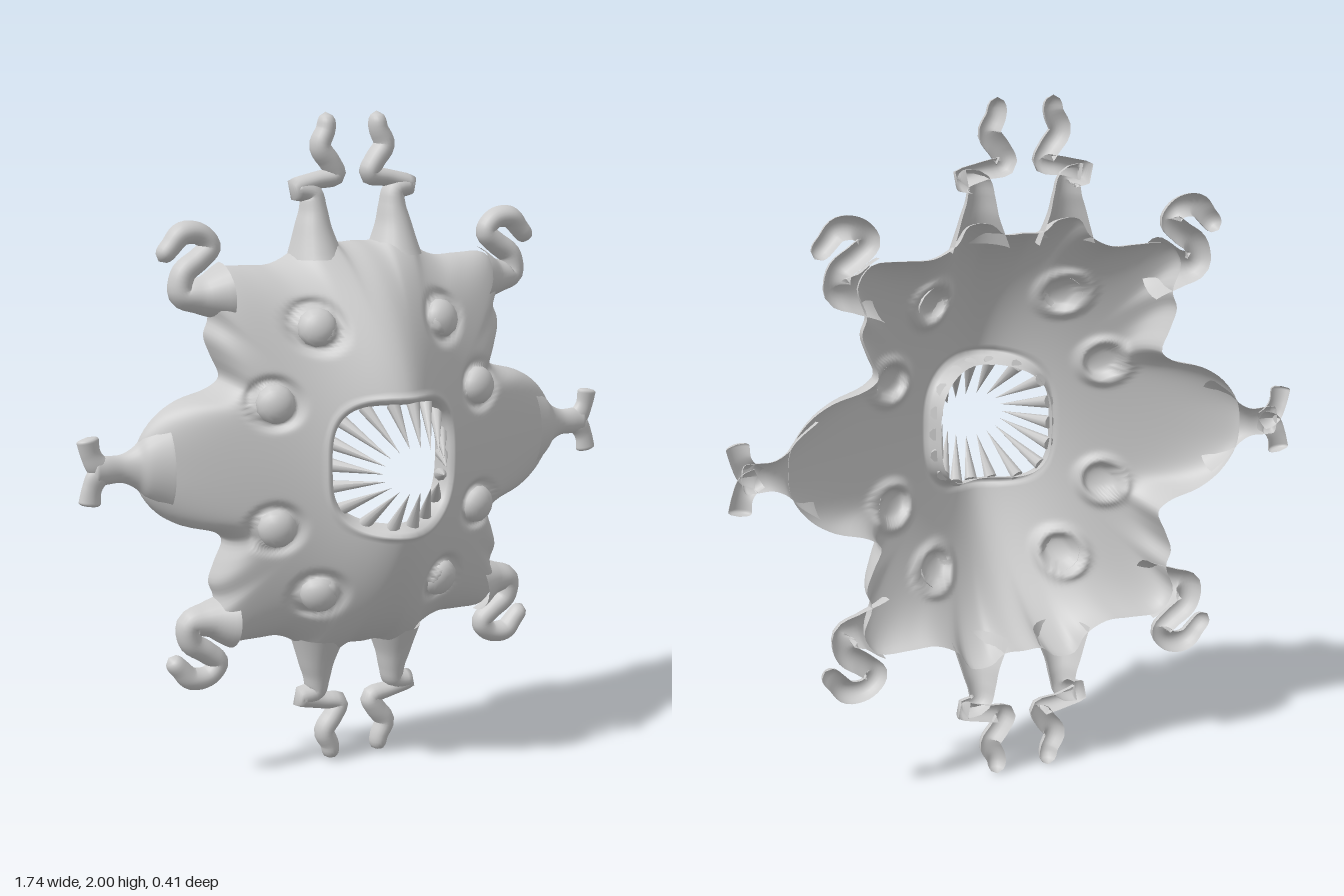
import * as THREE from 'three';
import { mergeVertices } from 'three/addons/utils/BufferGeometryUtils.js';

const BACK = -0.21; // flat open back plane
const material = new THREE.MeshStandardMaterial({ color: 0xcccccc, side: THREE.DoubleSide });
const EYES = [[0.205, 0.4], [0.335, 0.185]];
const SIGNS = [[1, 1], [-1, 1], [-1, -1], [1, -1]];

// Smooth grid surface from fn(row, column) -> [x, y, z]
function gridSurface(rows, cols, fn) {
  const pos = [], index = [];
  for (let i = 0; i <= rows; i++) {
    for (let j = 0; j <= cols; j++) {
      pos.push(...fn(i, j));
      if (i < rows && j < cols) {
        const a = i * (cols + 1) + j, b = a + cols + 1;
        index.push(a, b, b + 1, a, b + 1, a + 1);
      }
    }
  }
  let geo = new THREE.BufferGeometry();
  geo.setAttribute('position', new THREE.Float32BufferAttribute(pos, 3));
  geo.setIndex(index);
  geo = mergeVertices(geo, 1e-5);
  geo.computeVertexNormals();
  return geo;
}

function add(parent, name, geometry) {
  const mesh = new THREE.Mesh(geometry, material);
  mesh.name = name;
  parent.add(mesh);
  return mesh;
}

// Height of the domed shell: a vertical ridge falling away to the sides
function domeZ(x, y) {
  const ax = Math.sqrt(x * x + 0.0009) - 0.02;
  const across = 0.8 * (1 - ax / 0.8) + 0.2 * Math.exp(-((ax / 0.15) ** 2));
  return BACK + 0.41 * across * (1 - (y / 0.75) ** 2);
}

// Raised ring, moat and hollow mound that seat each eye
function socketZ(x, y) {
  let dz = 0;
  for (const [ex, ey] of EYES) {
    const d = Math.hypot(Math.abs(x) - ex, Math.abs(y) - ey);
    dz -= 0.018 * Math.exp(-(((d - 0.064) / 0.014) ** 2));
    if (d < 0.05) dz += 0.026 * Math.sqrt(1 - (d / 0.05) ** 2);
  }
  return dz;
}

// Rounded-square mouth edge at a given angle
function mouthRim(angle, size = 0.215) {
  const c = Math.cos(angle), s = Math.sin(angle), n = 3;
  const r = size / (Math.abs(c) ** n + Math.abs(s) ** n) ** (1 / n);
  return [r * c, r * s];
}

function shellGeometry() {
  // One quarter of the scalloped outline, mirrored into a closed loop
  const quarter = [
    [0.7, 0], [0.69, 0.07], [0.64, 0.14], [0.57, 0.185], [0.47, 0.215], [0.435, 0.245],
    [0.46, 0.31], [0.48, 0.37], [0.465, 0.42], [0.49, 0.5], [0.45, 0.56], [0.35, 0.565],
    [0.27, 0.565], [0.2, 0.6], [0.165, 0.65], [0.1, 0.65], [0.06, 0.62], [0, 0.62],
  ];
  const top = [...quarter, ...quarter.slice(0, -1).reverse().map(([x, y]) => [-x, y])];
  const loop = [...top, ...top.slice(1, -1).reverse().map(([x, y]) => [x, -y])];
  const outline = new THREE.CatmullRomCurve3(loop.map(([x, y]) => new THREE.Vector3(x, y, 0)), true);
  const cols = 272, rows = 56;
  const edge = Array.from({ length: cols }, (_, j) => outline.getPoint(j / cols));
  const lip = [[0.82, -0.06], [0.85, -0.025], [0.89, 0], [0.94, 0.012], [0.98, 0.008]];

  return gridSurface(rows + lip.length, cols, (i, j) => {
    const e = edge[j % cols];
    const [rx, ry] = mouthRim(Math.atan2(e.y, e.x));
    if (i < lip.length) { // lip rolling into the mouth
      const [k, dz] = lip[i];
      return [rx * k, ry * k, domeZ(rx, ry) + dz];
    }
    const s = 1 - (1 - (i - lip.length) / rows) ** 1.5;
    const x = rx + (e.x - rx) * s, y = ry + (e.y - ry) * s;
    const wall = Math.sqrt(Math.max(0, 1 - s ** 8));
    return [x, y, BACK + (domeZ(x, y) - BACK) * wall + socketZ(x, y) * wall];
  });
}

// Half-round limb lying on the back plane; points are [x, y, radius]
function limbGeometry(points, sx, sy, depth) {
  const curve = new THREE.CatmullRomCurve3(
    points.map(([x, y, r]) => new THREE.Vector3(x * sx, y * sy, r)), false, 'centripetal');
  const rows = 44, cols = 12;
  return gridSurface(rows, cols, (i, j) => {
    const t = i / rows, p = curve.getPoint(t), d = curve.getTangent(t);
    const len = Math.hypot(d.x, d.y);
    const tip = t > 0.93 ? Math.sqrt(Math.max(0, 1 - ((t - 0.93) / 0.07) ** 2)) : 1;
    const r = p.z * tip, a = Math.PI * (1 - j / cols), w = r * Math.cos(a);
    return [p.x - d.y / len * w, p.y + d.x / len * w, BACK + depth * r * Math.sin(a)];
  });
}

const LIMBS = {
  verticalTentacle: { depth: 1.4, points: [
    [0.13, 0.58, 0.085], [0.132, 0.66, 0.058], [0.13, 0.72, 0.042], [0.137, 0.765, 0.034],
    [0.188, 0.778, 0.03], [0.12, 0.8, 0.026], [0.055, 0.815, 0.03], [0.075, 0.855, 0.032],
    [0.105, 0.9, 0.032], [0.085, 0.95, 0.029], [0.083, 0.998, 0.026]] },
  cornerTentacle: { depth: 1.3, points: [
    [0.42, 0.49, 0.09], [0.49, 0.485, 0.055], [0.545, 0.495, 0.04], [0.54, 0.55, 0.036],
    [0.49, 0.59, 0.034], [0.455, 0.625, 0.032], [0.485, 0.662, 0.032],
    [0.54, 0.665, 0.034], [0.575, 0.63, 0.03], [0.61, 0.59, 0.028]] },
  sideFork: { depth: 0.8, points: [
    [0.78, 0.0, 0.03], [0.81, 0.015, 0.034], [0.83, 0.05, 0.03], [0.84, 0.102, 0.034]] },
};

export function createModel() {
  const model = new THREE.Group();
  model.name = 'creature';
  model.position.y = 1;

  add(model, 'bodyShell', shellGeometry());

  // Tentacles and forked side limbs, mirrored into four quarters
  for (const [sx, sy] of SIGNS) {
    for (const [name, { points, depth }] of Object.entries(LIMBS)) {
      add(model, name, limbGeometry(points, sx, sy, depth));
    }
  }
  for (const sx of [1, -1]) {
    add(model, 'sideArm', limbGeometry(
      [[0.61, 0, 0.14], [0.67, 0, 0.095], [0.7, 0, 0.062], [0.74, 0, 0.042], [0.79, 0, 0.042], [0.83, 0, 0.042]],
      sx, 1, 0.75));
  }

  // Eyes: domed caps facing along the shell normal
  const cap = new THREE.SphereGeometry(0.058, 12, 6, 0, Math.PI * 2, 0, Math.PI / 2);
  cap.scale(1, 0.75, 1);
  const up = new THREE.Vector3(0, 1, 0);
  for (const [sx, sy] of SIGNS) {
    for (const [ex, ey] of EYES) {
      const x = ex * sx, y = ey * sy, h = 0.03;
      const normal = new THREE.Vector3(
        (domeZ(x - h, y) - domeZ(x + h, y)) / (2 * h),
        (domeZ(x, y - h) - domeZ(x, y + h)) / (2 * h), 1).normalize();
      const eye = add(model, 'eye', cap);
      eye.position.set(x, y, domeZ(x, y)).addScaledVector(normal, -0.006);
      eye.quaternion.setFromUnitVectors(up, normal);
    }
  }

  // Teeth leaning forward and inward from the lip
  const teeth = new THREE.Group();
  teeth.name = 'teeth';
  model.add(teeth);
  const count = 18;
  for (let i = 0; i < count; i++) {
    const a = i / count * Math.PI * 2;
    const [x, y] = mouthRim(a, 0.182), [rx, ry] = mouthRim(a);
    const base = new THREE.Vector3(x, y, domeZ(rx, ry) - 0.03);
    const tip = new THREE.Vector3(Math.cos(a) * 0.1, Math.sin(a) * 0.065, 0.2);
    const axis = tip.clone().sub(base);
    const tooth = add(teeth, 'tooth', new THREE.ConeGeometry(0.02, axis.length(), 8));
    tooth.position.copy(base).add(tip).multiplyScalar(0.5);
    tooth.quaternion.setFromUnitVectors(up, axis.normalize());
  }
  return model;
}
